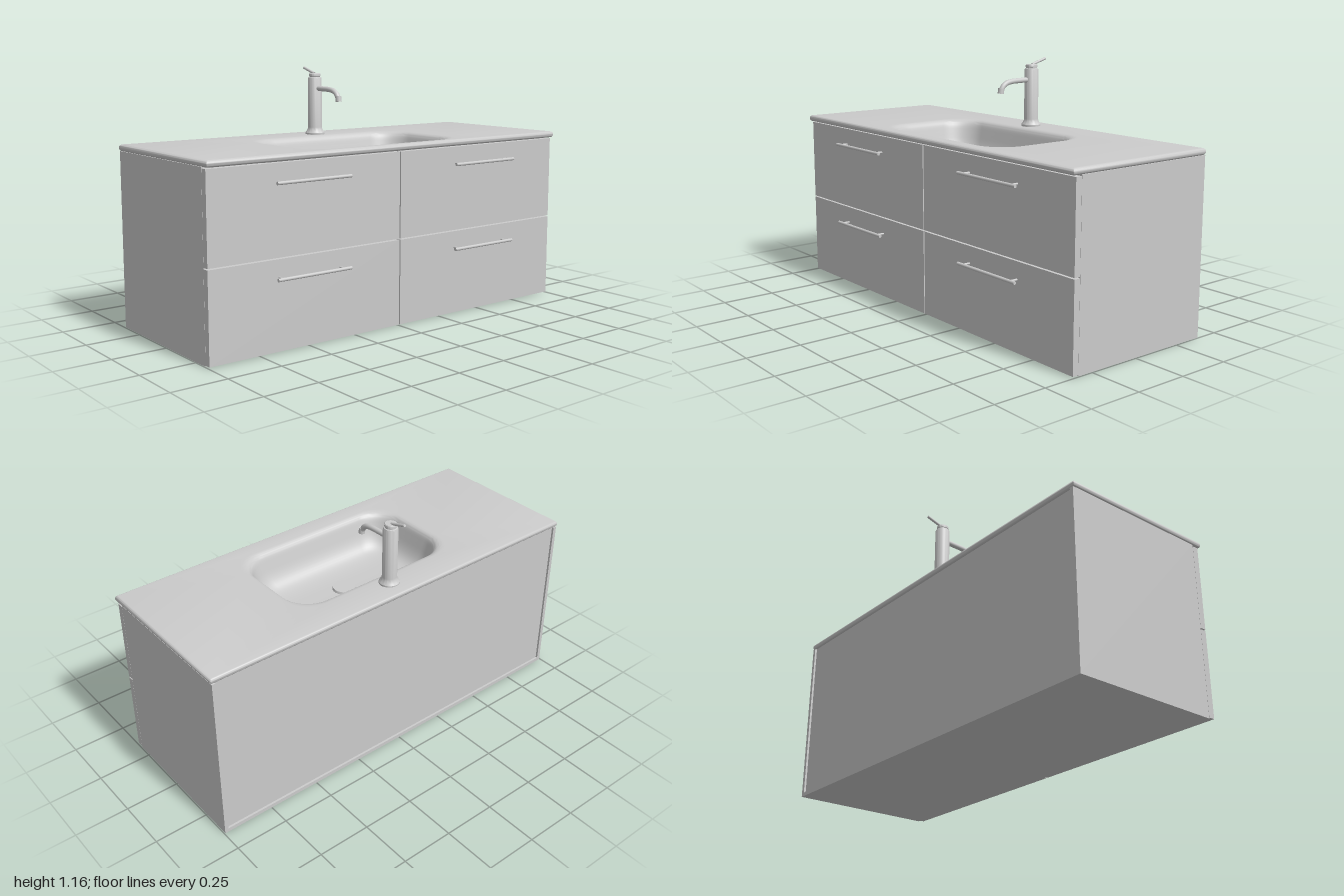
import * as THREE from 'three';
import { toCreasedNormals } from 'three/addons/utils/BufferGeometryUtils.js';

const mat = new THREE.MeshStandardMaterial({ color: 0xcccccc, side: THREE.DoubleSide });

function add(parent, name, geometry, x = 0, y = 0, z = 0) {
  const mesh = new THREE.Mesh(geometry, mat);
  mesh.name = name;
  mesh.position.set(x, y, z);
  parent.add(mesh);
  return mesh;
}

// Box given by its lower and upper corners
function panel(parent, name, a, b) {
  const s = b.map((v, i) => v - a[i]);
  return add(parent, name, new THREE.BoxGeometry(...s), ...a.map((v, i) => v + s[i] / 2));
}

// Counter-clockwise rounded rectangle, seen from above
function roundedLoop(hx, hz, cz, r, y, steps = 12) {
  const pts = [];
  [[1, -1], [-1, -1], [-1, 1], [1, 1]].forEach(([sx, sz], q) => {
    for (let i = 0; i <= steps; i++) {
      const a = (q + i / steps) * Math.PI / 2;
      pts.push([sx * (hx - r) + r * Math.cos(a), y, cz + sz * (hz - r) - r * Math.sin(a)]);
    }
  });
  return pts;
}

// Skin between successive loops, closed at both ends
function skin(loops) {
  const n = loops[0].length, index = [];
  for (let k = 0; k < loops.length - 1; k++) {
    for (let i = 0; i < n; i++) {
      const j = (i + 1) % n, a = k * n, b = a + n;
      index.push(a + i, a + j, b + i, a + j, b + j, b + i);
    }
  }
  const last = (loops.length - 1) * n;
  for (let i = 1; i < n - 1; i++) {
    index.push(0, i + 1, i, last, last + i, last + i + 1);
  }
  const g = new THREE.BufferGeometry();
  g.setAttribute('position', new THREE.Float32BufferAttribute(loops.flat(2), 3));
  g.setIndex(index);
  return toCreasedNormals(g, 0.7);
}

// Counter with an integrated basin: outside of bowl, underside, edge, top, inside of bowl
function washTop() {
  const bowl = (d, y) => {
    const hz = 0.2525 - d;
    return roundedLoop(0.438 - d, hz, 0.0225, Math.min(0.14, hz * 0.6), y);
  };
  const slab = (d, y) => roundedLoop(1 - d, 0.3825 - d, -0.0135, 0.003, y);
  const loops = [bowl(0.23, 0.615), bowl(0.13, 0.618), bowl(0.06, 0.65), bowl(0.01, 0.73), bowl(-0.02, 0.805)];
  for (let i = 0; i <= 12; i++) {
    const a = (i / 12 - 0.5) * Math.PI;
    loops.push(slab(0.012 * (1 - Math.cos(a)), 0.82 + 0.015 * Math.sin(a)));
  }
  const profile = new THREE.SplineCurve([
    [-0.025, 0.8295], [-0.008, 0.828], [0.006, 0.821], [0.016, 0.805], [0.026, 0.77],
    [0.042, 0.715], [0.065, 0.675], [0.1, 0.652], [0.16, 0.642], [0.24, 0.64],
  ].map(p => new THREE.Vector2(...p)));
  profile.getPoints(30).forEach(p => loops.push(bowl(p.x, p.y)));
  return skin(loops);
}

function handle() {
  const g = new THREE.Group();
  g.name = 'handle';
  add(g, 'handleBar', new THREE.CylinderGeometry(0.0075, 0.0075, 0.38, 16), 0, 0, 0.039).rotation.z = Math.PI / 2;
  for (const x of [-0.158, 0.158]) {
    add(g, 'handlePost', new THREE.CylinderGeometry(0.005, 0.005, 0.04, 12), x, 0, 0.02).rotation.x = Math.PI / 2;
  }
  return g;
}

function faucet() {
  const g = new THREE.Group();
  g.name = 'faucet';
  g.position.set(0, 0.83, -0.295);

  // Flared foot, column and cap
  const body = [[0, 0], [0.047, 0], [0.047, 0.009], [0.042, 0.016], [0.036, 0.026], [0.034, 0.036],
    [0.034, 0.272], [0.031, 0.279], [0.026, 0.281], [0.026, 0.284], [0.028, 0.285], [0.028, 0.296], [0.026, 0.299], [0, 0.299]];
  add(g, 'faucetBody', toCreasedNormals(
    new THREE.LatheGeometry(body.map(p => new THREE.Vector2(...p)), 40), 0.6));

  // Spout bending down to the outlet
  const path = new THREE.CatmullRomCurve3([
    [0, 0.226, 0.02], [0, 0.225, 0.07], [0, 0.223, 0.125], [0, 0.217, 0.155], [0, 0.204, 0.176], [0, 0.184, 0.189],
  ].map(p => new THREE.Vector3(...p)));
  add(g, 'spout', new THREE.TubeGeometry(path, 32, 0.0125, 16));
  add(g, 'spoutOutlet', new THREE.CylinderGeometry(0.014, 0.015, 0.026, 20), 0, 0.182, 0.191).rotation.x = -0.12;

  // Lever rising to the back
  const from = new THREE.Vector3(0, 0.298, -0.004), to = new THREE.Vector3(0, 0.324, -0.088);
  const dir = to.clone().sub(from);
  const lever = add(g, 'lever', new THREE.CylinderGeometry(0.0065, 0.0065, dir.length(), 14),
    ...from.clone().add(to).multiplyScalar(0.5).toArray());
  lever.quaternion.setFromUnitVectors(new THREE.Vector3(0, 1, 0), dir.normalize());
  return g;
}

export function createModel() {
  const model = new THREE.Group();
  model.name = 'vanityUnit';

  // Cabinet carcass, open at the front, with a recessed back
  const t = 0.018, W = 0.995, back = -0.395, front = 0.32;
  panel(model, 'leftSide', [W - t, 0, back], [W, 0.805, front]);
  panel(model, 'rightSide', [-W, 0, back], [t - W, 0.805, front]);
  panel(model, 'bottomPanel', [t - W, 0, back], [W - t, t, front]);
  panel(model, 'backPanel', [t - W, t, back + 0.01], [W - t, 0.805, back + 0.02]);

  // Four drawer fronts with bar handles
  for (const s of [-1, 1]) {
    for (const y of [0.005, 0.405]) {
      const x0 = s > 0 ? 0.003 : -W, x1 = s > 0 ? W : -0.003;
      panel(model, 'drawerFront', [x0, y, front + 0.001], [x1, y + 0.394, 0.351]);
      const h = handle();
      h.position.set(s * 0.498, y + 0.316, 0.351);
      model.add(h);
    }
  }

  add(model, 'washTop', washTop());
  add(model, 'drain', new THREE.CylinderGeometry(0.052, 0.055, 0.012, 40), 0, 0.645, 0.025);
  model.add(faucet());
  return model;
}
